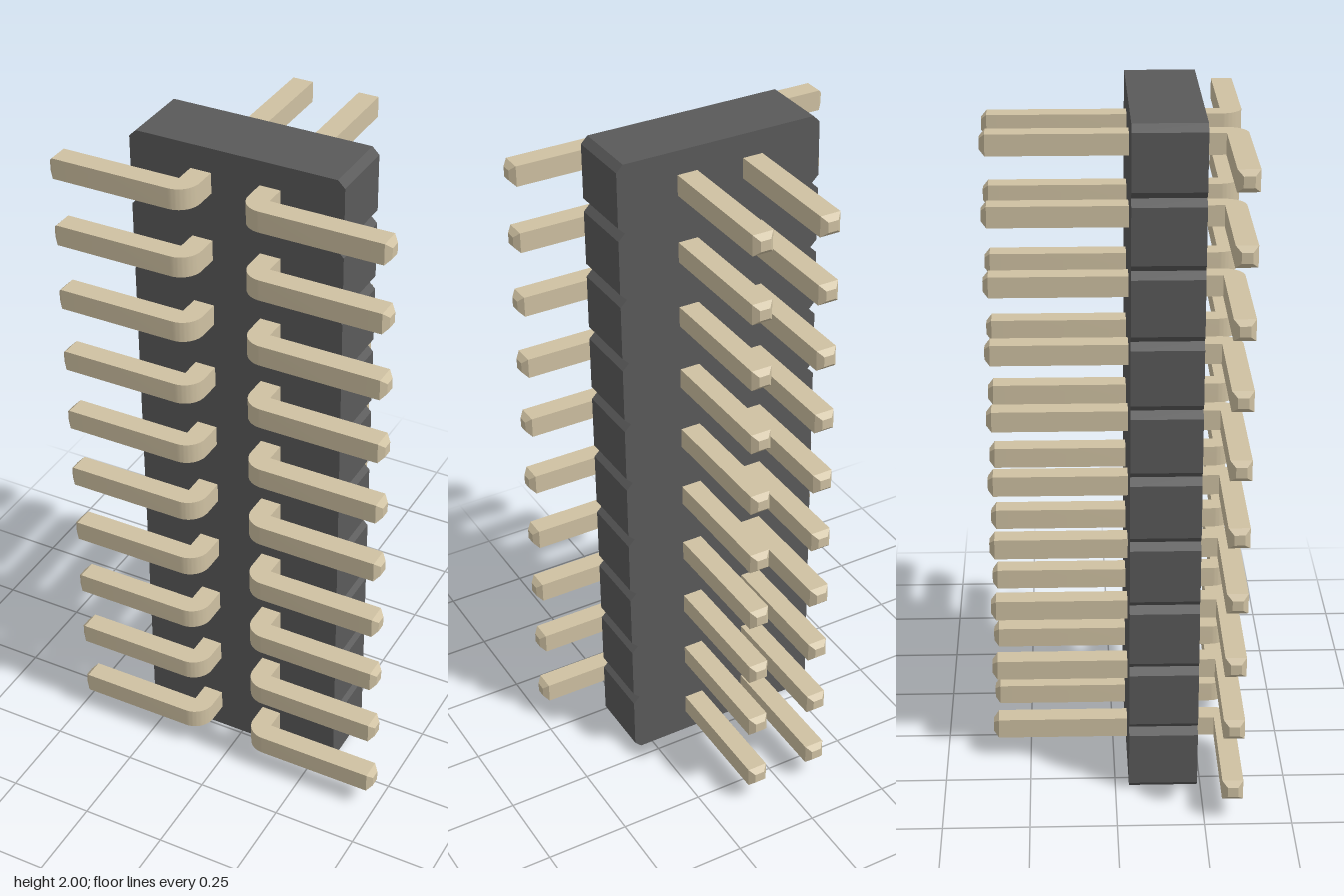
import * as THREE from 'three';
import { mergeGeometries, toCreasedNormals } from 'three/addons/utils/BufferGeometryUtils.js';

const ROWS = 10, PITCH = 0.2, HALF_W = 0.31, CHAMFER = 0.02;
const PIN = 0.03; // half thickness of a pin
const TIP = 0.015; // length of a pin's tapered end

// Housing outline in x and y, notched between rows, extruded along z
function housingGeometry() {
  const right = [];
  for (let i = 0; i < ROWS; i++) {
    const y0 = i * PITCH, y1 = y0 + PITCH;
    right.push([HALF_W - CHAMFER, y0], [HALF_W, y0 + CHAMFER], [HALF_W, y1 - CHAMFER]);
  }
  right.push([HALF_W - CHAMFER, ROWS * PITCH]);
  const left = right.map(([x, y]) => [-x, y]).reverse();
  const shape = new THREE.Shape([...right, ...left].map(([x, y]) => new THREE.Vector2(x, y)));
  const geo = new THREE.ExtrudeGeometry(shape, { depth: 0.2, bevelEnabled: false });
  return geo.translate(0, 0, 0.04);
}

// Tapered square end, pointing along +y from its base
function tipGeometry() {
  const s = Math.SQRT2;
  return new THREE.CylinderGeometry((PIN - TIP) * s, PIN * s, TIP, 4)
    .rotateY(Math.PI / 4)
    .translate(0, TIP / 2, 0)
    .toNonIndexed();
}

// L-shaped pin: straight post to the back, rounded outer bend, foot to the side
function pinGeometry() {
  const xIn = 0.07, xOut = 0.13, back = -0.36 + TIP, front = 0.36, end = 0.49 - TIP;
  const shape = new THREE.Shape();
  shape.moveTo(xIn, back);
  shape.lineTo(xOut, back);
  shape.lineTo(xOut, front - 2 * PIN);
  shape.lineTo(end, front - 2 * PIN);
  shape.lineTo(end, front);
  shape.lineTo(xOut, front);
  shape.absarc(xOut, front - 2 * PIN, 2 * PIN, Math.PI / 2, Math.PI, false);
  const bar = new THREE.ExtrudeGeometry(shape, { depth: 2 * PIN, bevelEnabled: false, curveSegments: 8 });
  bar.rotateX(Math.PI / 2).translate(0, PIN, 0);
  const backTip = tipGeometry().rotateX(-Math.PI / 2).translate((xIn + xOut) / 2, 0, back);
  const footTip = tipGeometry().rotateZ(-Math.PI / 2).translate(end, 0, front - PIN);
  return toCreasedNormals(mergeGeometries([bar, backTip, footTip]), 0.5);
}

export function createModel() {
  const group = new THREE.Group();
  group.name = 'pinHeader';
  const plastic = new THREE.MeshStandardMaterial({ color: 0x5a5a5a });
  const metal = new THREE.MeshStandardMaterial({ color: 0xcfc1a2 });

  const housing = new THREE.Mesh(housingGeometry(), plastic);
  housing.name = 'housing';
  group.add(housing);

  // Two pins per row; the right one is the left one turned half round
  const pinGeo = pinGeometry();
  for (let i = 0; i < ROWS; i++) {
    for (const side of ['left', 'right']) {
      const pin = new THREE.Mesh(pinGeo, metal);
      pin.name = `${side}Pin${i + 1}`;
      pin.position.y = (i + 0.5) * PITCH;
      if (side === 'right') pin.rotation.z = Math.PI;
      group.add(pin);
    }
  }
  return group;
}
